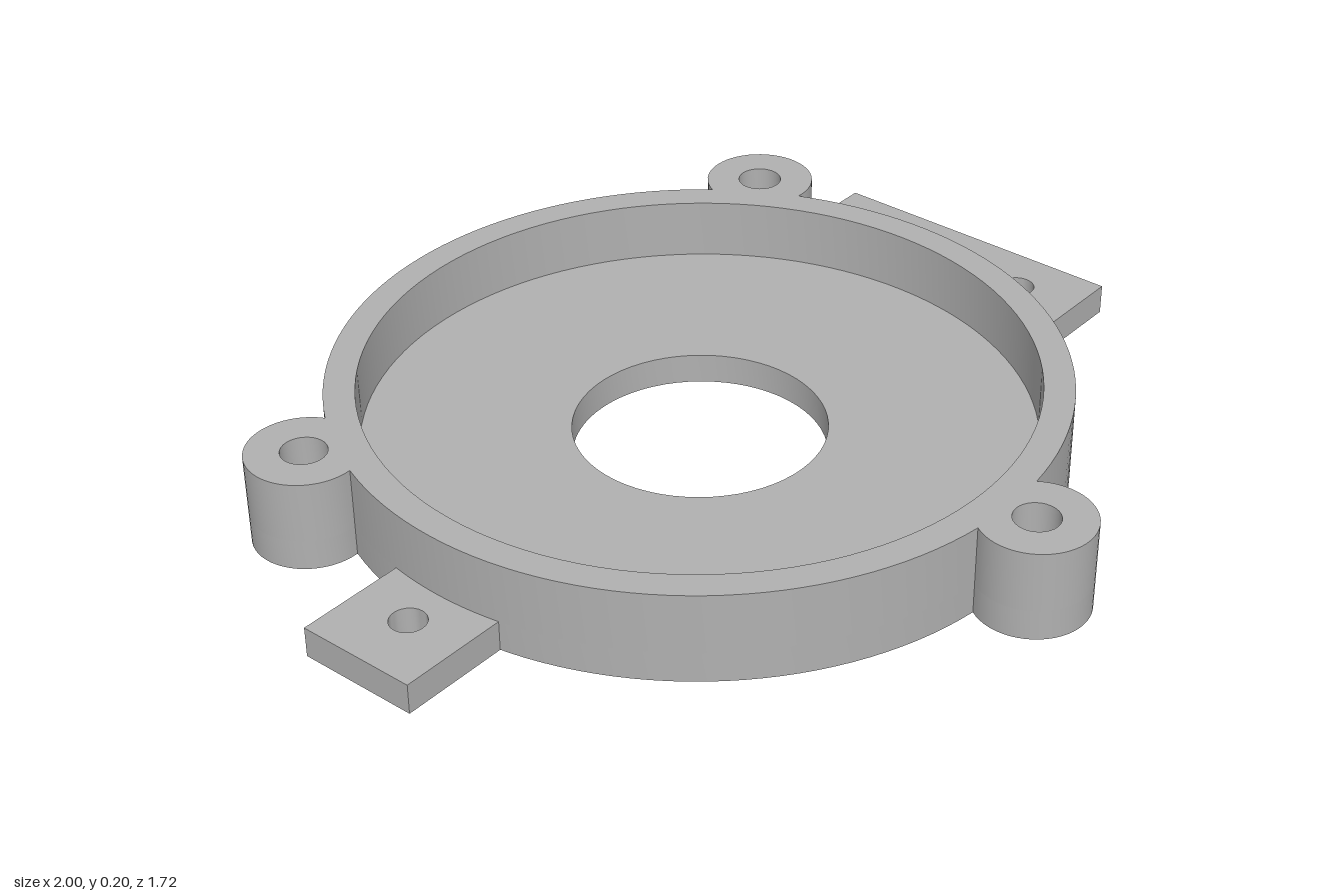
import * as THREE from 'three';
import { toCreasedNormals } from 'three/addons/utils/BufferGeometryUtils.js';

const R = 0.769;          // outer radius of the cup
const INNER = 0.704;      // inside radius of the rim
const BORE = 0.267;       // central opening
const FLOOR = 0.067;      // floor and tab thickness
const HEIGHT = 0.2;
const BOSS_D = 0.83, BOSS_R = 0.12, BOSS_HOLE = 0.048;
const BOSS_ANGLES = [-Math.PI / 2, Math.PI / 6, Math.PI * 5 / 6];

// Points along an arc, leaving out the end point
function arc(cx, cy, r, from, to, n) {
  return Array.from({ length: n }, (_, i) => {
    const t = from + (to - from) * i / n;
    return new THREE.Vector2(cx + r * Math.cos(t), cy + r * Math.sin(t));
  });
}

const circle = (cx, cy, r, n) => arc(cx, cy, r, 0, Math.PI * 2, n);

// Upright plate from y0 to y1 with holes through it
function plate(name, outline, holes, y0, y1, material) {
  const shape = new THREE.Shape(outline);
  shape.holes = holes.map(points => new THREE.Path(points));
  let geometry = new THREE.ExtrudeGeometry(shape, { depth: y1 - y0, bevelEnabled: false });
  geometry.rotateX(-Math.PI / 2);
  geometry.translate(0, y0, 0);
  geometry = toCreasedNormals(geometry, 0.5);
  const mesh = new THREE.Mesh(geometry, material);
  mesh.name = name;
  return mesh;
}

// Round body outline with three screw bosses merged into it
function bodyOutline() {
  const a = Math.acos((R * R + BOSS_D * BOSS_D - BOSS_R * BOSS_R) / (2 * R * BOSS_D));
  const b = Math.atan2(R * Math.sin(a), R * Math.cos(a) - BOSS_D);
  const points = [];
  for (const t of BOSS_ANGLES) {
    points.push(...arc(BOSS_D * Math.cos(t), BOSS_D * Math.sin(t), BOSS_R, t - b, t + b, 36));
    points.push(...arc(0, 0, R, t + a, t + Math.PI * 2 / 3 - a, 40));
  }
  return points;
}

// Flat mounting tab that fits against the body; side is +1 or -1
function tab(name, side, halfWidth, holes, material) {
  const a = Math.asin(halfWidth / R);
  const mid = side > 0 ? 0 : Math.PI;
  const outline = [
    ...arc(0, 0, R, mid + a, mid - a, 16),
    new THREE.Vector2(R * Math.cos(mid - a), R * Math.sin(mid - a)),
    new THREE.Vector2(side, -side * halfWidth),
    new THREE.Vector2(side, side * halfWidth),
  ];
  return plate(name, outline, holes.map(([x, y]) => circle(x, y, 0.038, 28)), 0, FLOOR, material);
}

export function createModel() {
  const grey = new THREE.MeshStandardMaterial({ color: 0xb0b0b0 });
  grey.name = 'grey';

  const model = new THREE.Group();
  model.name = 'mountingCup';
  const outline = bodyOutline();

  // Floor with the central opening
  model.add(plate('floor', outline, [circle(0, 0, BORE, 64)], 0, FLOOR, grey));

  // Rim wall and bosses with blind screw holes
  const bossHoles = BOSS_ANGLES.map(t =>
    circle(BOSS_D * Math.cos(t), BOSS_D * Math.sin(t), BOSS_HOLE, 28));
  model.add(plate('rimAndBosses', outline, [circle(0, 0, INNER, 120), ...bossHoles], FLOOR, HEIGHT, grey));

  // Wide tab with two holes, narrow tab with one
  model.add(tab('wideTab', 1, 0.347, [[0.88, 0.198], [0.88, -0.198]], grey));
  model.add(tab('narrowTab', -1, 0.135, [[-0.861, 0]], grey));

  for (const part of model.children) part.position.z = -0.092;
  return model;
}
